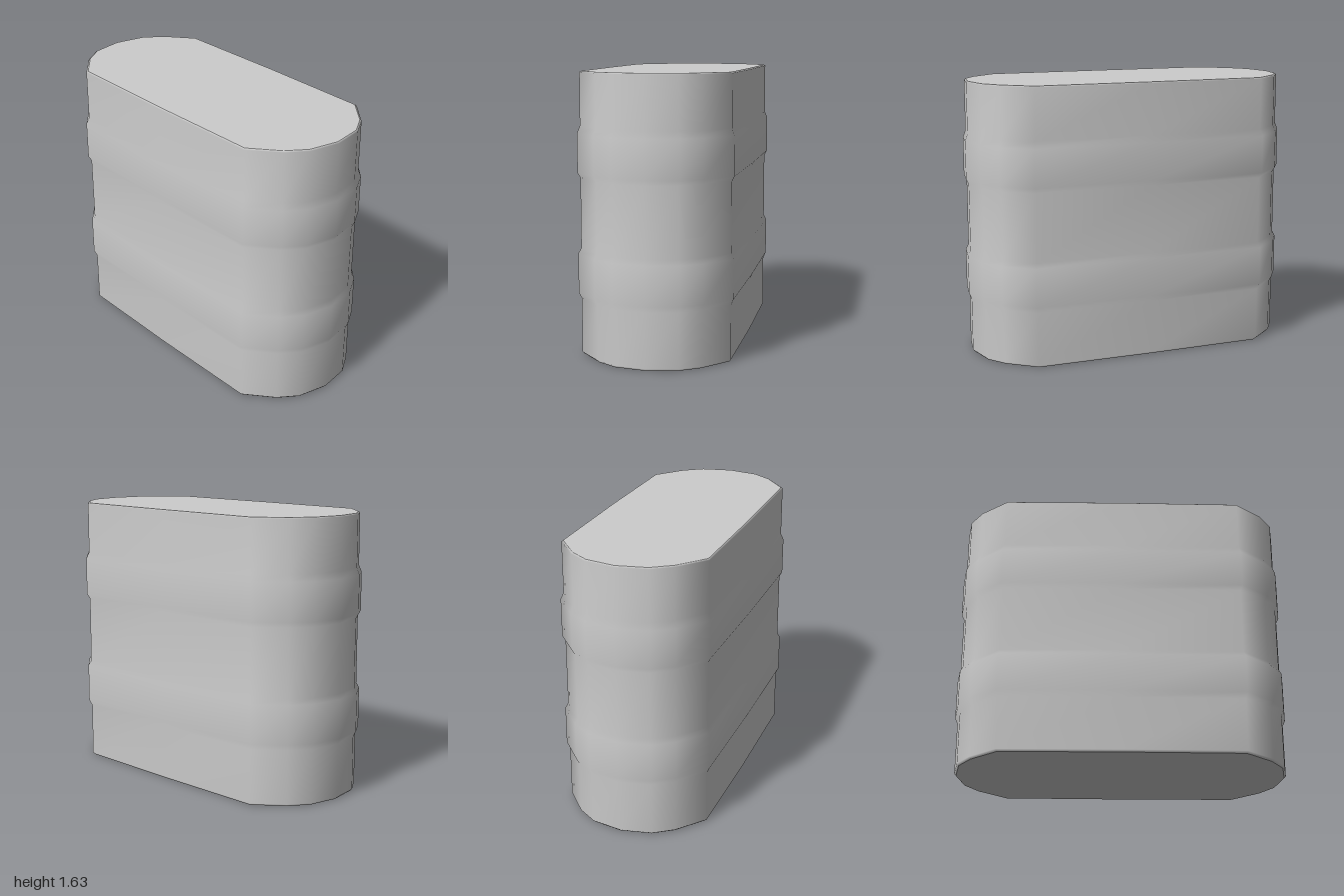
import * as THREE from 'three';

// Quarter of the plan outline at its widest, [x, z] from front centre to side centre
const quarter = [[0, 1], [0.19, 0.965], [0.31, 0.885], [0.45, 0.72], [0.457, 0]];

// Full outline, counterclockwise seen from above
function planOutline() {
  const half = [...quarter, ...quarter.slice(0, -1).reverse().map(([x, z]) => [x, -z])];
  return [...half, ...half.slice(1, -1).reverse().map(([x, z]) => [-x, z])];
}

// Height and inset of each ring: rounded rims and two raised bands
const levels = [
  [0, 0.026], [0.012, 0.015],
  [0.33, 0.015], [0.365, 0], [0.595, 0], [0.625, 0.015],
  [1.03, 0.015], [1.06, 0], [1.285, 0], [1.325, 0.015],
  [1.628, 0.015], [1.635, 0.024],
];

const ring = ([y, inset]) => planOutline().map(([x, z]) =>
  [x * (1 - inset / 0.457), y, z * (1 - inset)]);

function meshGeometry(points, index) {
  const g = new THREE.BufferGeometry();
  g.setAttribute('position', new THREE.Float32BufferAttribute(points.flat(), 3));
  g.setIndex(index);
  g.computeVertexNormals();
  return g;
}

// Smooth skin lofted through the rings
function wallGeometry() {
  const rings = levels.map(ring);
  const n = rings[0].length;
  const index = [];
  for (let j = 0; j < rings.length - 1; j++) {
    for (let i = 0; i < n; i++) {
      const k = (i + 1) % n;
      const a = j * n + i, b = j * n + k, c = a + n, d = b + n;
      index.push(a, b, d, a, d, c);
    }
  }
  return meshGeometry(rings.flat(), index);
}

// Flat end face as a fan
function capGeometry(level, up) {
  const points = ring(level);
  const n = points.length;
  const index = [];
  for (let i = 0; i < n; i++) {
    const k = (i + 1) % n;
    index.push(n, up ? i : k, up ? k : i);
  }
  return meshGeometry([...points, [0, level[0], 0]], index);
}

export function createModel() {
  const group = new THREE.Group();
  group.name = 'ribbedContainer';
  const material = new THREE.MeshStandardMaterial({ color: 0xcccccc });
  const add = (name, geometry) => {
    const mesh = new THREE.Mesh(geometry, material);
    mesh.name = name;
    group.add(mesh);
  };
  add('bandedWall', wallGeometry());
  add('topFace', capGeometry(levels[levels.length - 1], true));
  add('bottomFace', capGeometry(levels[0], false));
  return group;
}
